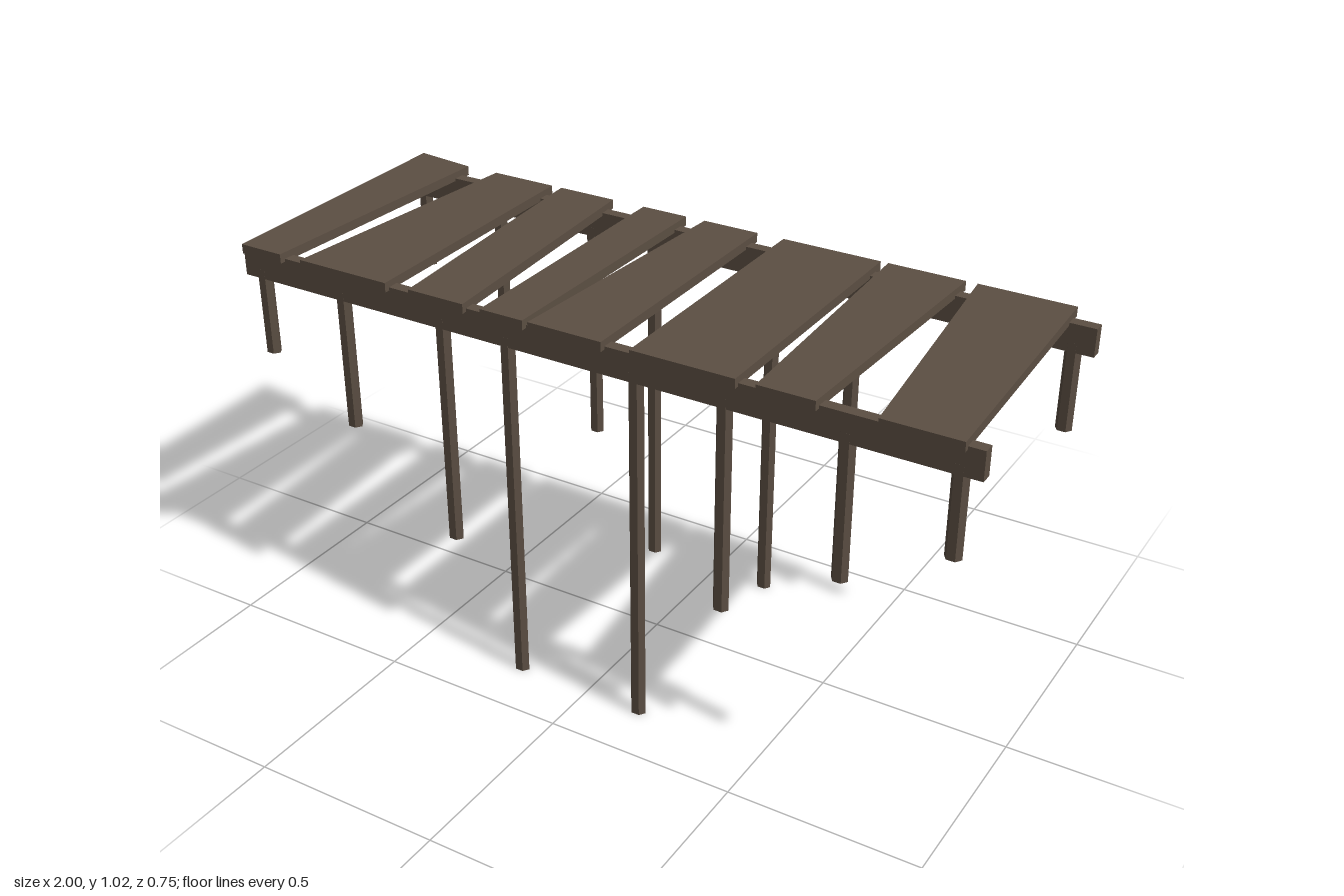
import * as THREE from 'three';

export function createModel() {
  const model = new THREE.Group();
  model.name = 'woodenPier';
  const wood = new THREE.MeshStandardMaterial({ color: 0x5c4f43, flatShading: true });

  const add = (parent, geometry, name, x = 0, y = 0, z = 0) => {
    const mesh = new THREE.Mesh(geometry, wood);
    mesh.name = name;
    mesh.position.set(x, y, z);
    parent.add(mesh);
  };

  // Deck planks: tapered outlines [backLeft, backRight, frontLeft, frontRight, backZ of left corner]
  const deck = new THREE.Group();
  deck.name = 'deck';
  const backZ = -0.36, frontZ = 0.375, plankBottom = 1.0, plankThickness = 0.025;
  const planks = [
    [-1.0, -0.83, -0.99, -0.865, -0.38],
    [-0.735, -0.55, -0.8, -0.535],
    [-0.52, -0.355, -0.465, -0.305],
    [-0.26, -0.13, -0.255, -0.135],
    [-0.075, 0.08, -0.12, 0.08],
    [0.155, 0.425, 0.155, 0.425],
    [0.445, 0.65, 0.475, 0.62],
    [0.68, 0.93, 0.765, 0.96],
  ];
  for (const [bl, br, fl, fr, cornerZ = backZ] of planks) {
    const outline = new THREE.Shape([
      new THREE.Vector2(fl, -frontZ), new THREE.Vector2(fr, -frontZ),
      new THREE.Vector2(br, -backZ), new THREE.Vector2(bl, -cornerZ),
    ]);
    const geometry = new THREE.ExtrudeGeometry(outline, { depth: plankThickness, bevelEnabled: false });
    geometry.rotateX(-Math.PI / 2);
    add(deck, geometry, 'plank', 0, plankBottom, 0);
  }
  model.add(deck);

  // Each side: a three-piece beam carried on posts that get longer toward the middle
  const beamJoints = [-1, -0.2, 0.155, 1];
  const posts = [ // [x, bottom]
    [-0.95, 0.725], [-0.695, 0.58], [-0.39, 0.34], [-0.2, 0],
    [0.155, 0], [0.385, 0.395], [0.685, 0.58], [0.945, 0.725],
  ];
  const postTop = 0.96;
  for (const [name, z] of [['front', 0.345], ['back', -0.317]]) {
    const side = new THREE.Group();
    side.name = name + 'Support';
    for (let i = 0; i < 3; i++) {
      const length = beamJoints[i + 1] - beamJoints[i];
      add(side, new THREE.BoxGeometry(length, 0.073, 0.03), 'beam', beamJoints[i] + length / 2, 0.9715, z);
    }
    for (const [x, bottom] of posts) {
      const height = postTop - bottom;
      const geometry = new THREE.CylinderGeometry(1, 1, height, 6);
      geometry.rotateY(Math.PI / 2).scale(0.021, 1, 0.0175);
      add(side, geometry, 'post', x, bottom + height / 2, z);
    }
    model.add(side);
  }
  return model;
}
